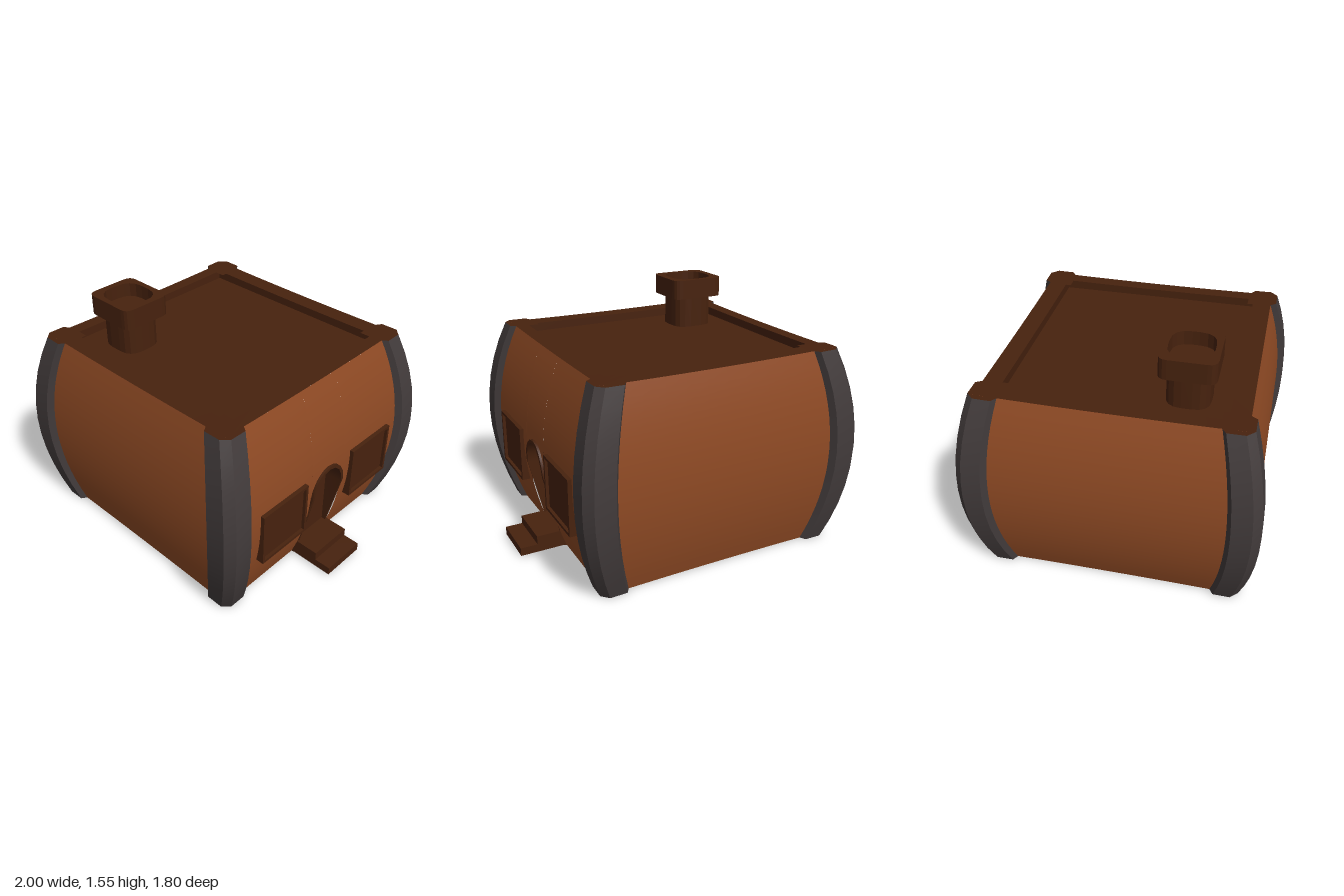
import * as THREE from 'three';
import { mergeGeometries } from 'three/addons/utils/BufferGeometryUtils.js';

const H = 0.637, TOP = 2 * H;          // half height and full height of the body
const HX = 0.89, HZ = 0.86;            // half widths at the bulge
const CX = -0.07;                      // body centre in x
const lerp = THREE.MathUtils.lerp;

const bulge = (y) => 1 - ((y - H) / H) ** 2;
const scaleX = (y) => 0.86 + 0.14 * bulge(y);
const scaleZ = (y) => 0.89 + 0.11 * bulge(y);

// Barrel warp: narrows at top and bottom, with a faint sag away from the corners
function warp(px, y, pz) {
  const corner = Math.min(1, ((px * pz) / (HX * HZ)) ** 2);
  return [px * scaleX(y) + CX, H + (y - H) * (1 - 0.012 * (1 - corner)), pz * scaleZ(y)];
}

// Grid surface from f(u, v); it faces dU x dV
function surf(f, nu, nv) {
  const pos = [], idx = [];
  for (let j = 0; j <= nv; j++) for (let i = 0; i <= nu; i++) pos.push(...f(i / nu, j / nv));
  for (let j = 0; j < nv; j++) for (let i = 0; i < nu; i++) {
    const a = j * (nu + 1) + i, b = a + 1, c = a + nu + 1, d = c + 1;
    idx.push(a, b, d, a, d, c);
  }
  const g = new THREE.BufferGeometry();
  g.setAttribute('position', new THREE.Float32BufferAttribute(pos, 3));
  g.setIndex(idx);
  g.computeVertexNormals();
  return g;
}

function roundedRect(target, w, h, r) {
  const x = w / 2, y = h / 2;
  target.moveTo(-x + r, -y);
  target.lineTo(x - r, -y).quadraticCurveTo(x, -y, x, -y + r);
  target.lineTo(x, y - r).quadraticCurveTo(x, y, x - r, y);
  target.lineTo(-x + r, y).quadraticCurveTo(-x, y, -x, y - r);
  target.lineTo(-x, -y + r).quadraticCurveTo(-x, -y, -x + r, -y);
  return target;
}

export function createModel() {
  const model = new THREE.Group();
  const mat = (name, color) => Object.assign(new THREE.MeshStandardMaterial({ color }), { name });
  const wallBrown = mat('wall brown', 0x8f4a24);
  const darkBrown = mat('dark brown', 0x47220e);
  const postGrey = mat('post grey', 0x423b3b);
  const add = (name, geo, material, parent = model) => {
    const m = new THREE.Mesh(geo, material);
    m.name = name;
    parent.add(m);
    return m;
  };
  const box = (name, x0, x1, y0, y1, z0, z1, parent) => {
    const m = add(name, new THREE.BoxGeometry(x1 - x0, y1 - y0, z1 - z0), darkBrown, parent);
    m.position.set((x0 + x1) / 2, (y0 + y1) / 2, (z0 + z1) / 2);
  };

  // Bulging walls; the +x wall is split around the doorway
  const corners = [[-1, 1], [1, 1], [1, -1], [-1, -1]];
  const side = (k, u, hx, hz) => {
    const a = corners[k], b = corners[(k + 1) % 4];
    return [lerp(a[0], b[0], u) * hx, lerp(a[1], b[1], u) * hz];
  };
  const DW = 0.152, SPRING = 0.52, RISE = 0.185;
  const archY = (z) => SPRING + RISE * Math.sqrt(Math.max(0, 1 - (z / DW) ** 2));
  const onWall = (z, y, out = 0) => warp(HX + out, y, z / scaleZ(y));
  const walls = [0, 2, 3].map((k) => surf((u, v) => {
    const [x, z] = side(k, u, HX, HZ);
    return warp(x, v * TOP, z);
  }, 12, 16));
  for (const s of [1, -1]) {
    walls.push(surf((u, v) => {
      const y = v * TOP, edge = HZ * scaleZ(y);
      return onWall(s > 0 ? lerp(edge, DW, u) : lerp(-DW, -edge, u), y);
    }, 8, 16));
  }
  walls.push(surf((u, v) => {
    const z = DW * Math.cos(Math.PI * u);
    return onWall(z, lerp(archY(z), TOP, v));
  }, 10, 12));
  add('walls', mergeGeometries(walls), wallBrown);

  // Roof rim, sunken roof and underside
  const RX = 0.79, RZ = 0.73, ROOF = 1.215;
  const roof = [];
  for (let k = 0; k < 4; k++) {
    roof.push(surf((u, v) => {
      const [x, z] = side(k, u, lerp(HX, RX, v), lerp(HZ, RZ, v));
      return warp(x, TOP, z);
    }, 12, 1));
    roof.push(surf((u, v) => {
      const [x, z] = side(k, u, RX, RZ);
      const p = warp(x, TOP, z);
      return [p[0], lerp(p[1], ROOF, v), p[2]];
    }, 12, 1));
  }
  roof.push(surf((u, v) => [CX + (u - 0.5) * 2 * RX * 0.86, ROOF, (0.5 - v) * 2 * RZ * 0.89], 1, 1));
  add('roof', mergeGeometries(roof), darkBrown);
  add('underside', surf((u, v) => warp((2 * u - 1) * HX, 0, (2 * v - 1) * HZ), 10, 10), darkBrown);

  // Corner posts: chamfered profile swept along the bulge, with brown ends
  const profile = [[0.71, 0.84], [0.75, 0.9], [0.88, 0.9], [0.93, 0.85], [0.93, 0.73], [0.87, 0.69]];
  const posts = [], ends = [];
  for (const [sx, sz] of corners) {
    const pts = profile.map(([x, z]) => [x * sx, z * sz]);
    if (sx * sz < 0) pts.reverse();
    const n = pts.length - 1;
    for (let i = 0; i < n; i++) {
      posts.push(surf((u, v) => warp(
        lerp(pts[i][0], pts[i + 1][0], u), v * TOP, lerp(pts[i][1], pts[i + 1][1], u)), 1, 10));
    }
    for (const y of [0, TOP]) {
      ends.push(surf((u, v) => {
        const p = pts[Math.round((y ? u : 1 - u) * n)];
        return warp(lerp(p[0], 0.71 * sx, v), y, lerp(p[1], 0.69 * sz, v));
      }, n, 1));
    }
  }
  add('cornerPosts', mergeGeometries(posts), postGrey);
  add('postEnds', mergeGeometries(ends), darkBrown);

  // Arched doorway: proud frame, jamb and recessed door
  const arch = [[-DW, 0]];
  for (let i = 0; i <= 8; i++) {
    const a = Math.PI * (1 - i / 8);
    arch.push([DW * Math.cos(a), SPRING + RISE * Math.sin(a)]);
  }
  arch.push([DW, 0]);
  const n = arch.length - 1, DOOR_X = 0.71;
  const sections = [
    ([z, y]) => onWall(z, y, -0.01),
    ([z, y]) => onWall(z, y, 0.015),
    ([z, y]) => onWall(z * 0.88, y * 0.97, 0.015),
    ([z, y]) => [DOOR_X, y * 0.97, z * 0.88],
    ([, y]) => [DOOR_X, y * 0.97, 0],
  ];
  const strips = sections.slice(1).map((to, k) => surf((u, v) => {
    const p = arch[Math.round(u * n)], a = sections[k](p), b = to(p);
    return a.map((c, i) => lerp(c, b[i], v));
  }, n, 1));
  add('doorFrame', mergeGeometries(strips.slice(0, 3)), darkBrown);
  add('door', strips[3], darkBrown);

  // Steps
  box('lowerStep', 0.66, 1.0, 0.012, 0.065, -0.152, 0.152);
  box('upperStep', 0.66, 0.89, 0.065, 0.12, -0.152, 0.152);

  // Framed windows on either side of the door
  for (const s of [1, -1]) {
    const w = new THREE.Group();
    w.name = s > 0 ? 'frontWindow' : 'backWindow';
    const c = 0.415 * s, hw = 0.195, y0 = 0.34, y1 = 0.7, t = 0.018;
    box('pane', 0.72, 0.825, y0 + t, y1 - t, c - hw + t, c + hw - t, w);
    box('sill', 0.72, 0.845, y0, y0 + t, c - hw, c + hw, w);
    box('head', 0.72, 0.845, y1 - t, y1, c - hw, c + hw, w);
    box('jamb', 0.72, 0.845, y0 + t, y1 - t, c - hw, c - hw + t, w);
    box('jamb', 0.72, 0.845, y0 + t, y1 - t, c + hw - t, c + hw, w);
    model.add(w);
  }

  // Chimney: rounded shaft with a hollow cap
  const chimney = new THREE.Group();
  chimney.name = 'chimney';
  chimney.position.set(-0.49, 0, 0.4);
  const rise = (name, shape, y0, y1) => {
    const g = new THREE.ExtrudeGeometry(shape, { depth: y1 - y0, bevelEnabled: false, curveSegments: 4 });
    add(name, g.rotateX(-Math.PI / 2).translate(0, y0, 0), darkBrown, chimney);
  };
  const cap = roundedRect(new THREE.Shape(), 0.362, 0.33, 0.055);
  cap.holes.push(roundedRect(new THREE.Path(), 0.28, 0.26, 0.11));
  rise('shaft', roundedRect(new THREE.Shape(), 0.28, 0.26, 0.1), ROOF - 0.01, 1.46);
  rise('cap', cap, 1.42, 1.547);
  model.add(chimney);

  return model;
}
